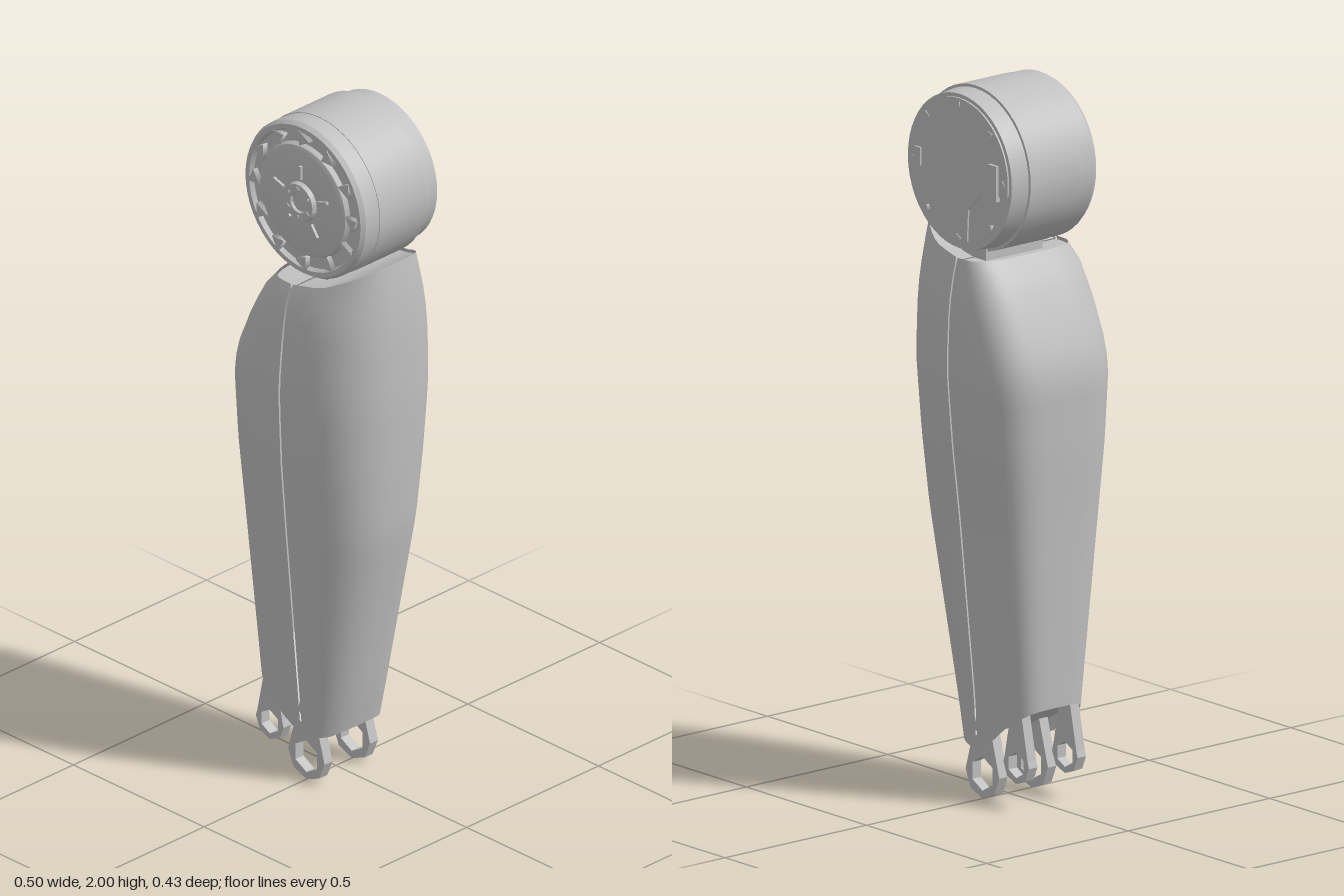
import * as THREE from 'three';
import { toCreasedNormals } from 'three/addons/utils/BufferGeometryUtils.js';

const grey = new THREE.MeshStandardMaterial({ color: 0xc0c0c0, side: THREE.DoubleSide });
grey.name = 'metalGrey';

function add(parent, name, geometry, x = 0, y = 0, z = 0) {
  const mesh = new THREE.Mesh(geometry, grey);
  mesh.name = name;
  mesh.position.set(x, y, z);
  parent.add(mesh);
  return mesh;
}

// Linear lookup in rows of [key, value, value...]
function lookup(rows, k) {
  if (k <= rows[0][0]) return rows[0].slice(1);
  for (let i = 1; i < rows.length; i++) {
    const a = rows[i - 1], b = rows[i];
    if (k <= b[0]) {
      const t = (k - a[0]) / (b[0] - a[0]);
      return a.slice(1).map((v, j) => v + (b[j + 1] - v) * t);
    }
  }
  return rows[rows.length - 1].slice(1);
}

// Surface from a function of u and v
function surface(fn, nu, nv) {
  const pos = [], idx = [];
  for (let j = 0; j <= nv; j++)
    for (let i = 0; i <= nu; i++) pos.push(...fn(i / nu, j / nv));
  for (let j = 0; j < nv; j++)
    for (let i = 0; i < nu; i++) {
      const a = j * (nu + 1) + i, b = a + nu + 1;
      idx.push(a, a + 1, b, a + 1, b + 1, b);
    }
  const g = new THREE.BufferGeometry();
  g.setAttribute('position', new THREE.Float32BufferAttribute(pos, 3));
  g.setIndex(idx);
  g.computeVertexNormals();
  return g;
}

// Shell sections: height, reach to -x, reach to +x, front z, back z
const sections = [
  [0.14, 0.19, 0.105, 0.13, 0.11],
  [0.28, 0.2, 0.137, 0.142, 0.117],
  [0.8, 0.228, 0.23, 0.19, 0.17],
  [1.0, 0.241, 0.242, 0.207, 0.195],
  [1.2, 0.25, 0.25, 0.215, 0.213],
  [1.27, 0.238, 0.25, 0.213, 0.213],
  [1.4, 0.184, 0.249, 0.2, 0.207],
  [1.48, 0.14, 0.245, 0.187, 0.193],
  [1.54, 0.09, 0.241, 0.163, 0.178],
  [1.62, 0.08, 0.23, 0.15, 0.16],
];
// Cut lines of the shell: x, y
const bottomCut = [[-0.2, 0.28], [-0.12, 0.225], [-0.05, 0.165], [0, 0.14], [0.08, 0.155], [0.12, 0.18]];
const topCut = [[-0.1, 1.53], [0, 1.53], [0.1, 1.55], [0.18, 1.59], [0.23, 1.62]];

function shellPoint(side, angle, t) {
  const c = Math.max(0, Math.cos(angle)), s = Math.sin(angle);
  const p = side < 0 ? 0.54 : 0.8;
  const at = (y) => {
    const [l, r, f, b] = lookup(sections, y);
    return [side * (0.003 + ((side < 0 ? l : r) - 0.003) * c ** p),
      y, Math.sign(s) * Math.abs(s) ** p * (s > 0 ? f : b)];
  };
  const cut = (line, y) => {
    for (let i = 0; i < 6; i++) y = lookup(line, at(y)[0])[0];
    return y;
  };
  const y0 = cut(bottomCut, 0.2), y1 = cut(topCut, 1.55);
  return at(y0 + (y1 - y0) * t);
}

function createShellHalf(side) {
  const half = new THREE.Group();
  half.name = side < 0 ? 'rightShell' : 'leftShell';
  const angle = (u) => (u - 0.5) * Math.PI;
  add(half, 'shellWall', surface((u, v) => shellPoint(side, angle(u), v), 24, 26));
  // End caps span straight from back edge to front edge
  const cap = (t, lift) => surface((u, v) => {
    const a = shellPoint(side, angle(u / 2), t), b = shellPoint(side, angle(1 - u / 2), t);
    return a.map((q, k) => q + (b[k] - q) * v + (k === 1 ? lift : 0));
  }, 12, 1);
  add(half, 'shellTop', cap(1, -0.01));
  add(half, 'shellFloor', cap(0, 0.04));
  return half;
}

// Teardrop lug: octagonal lower half, tapered arm, six-sided eye
function lugGeometry(r, hole, arm) {
  const point = (radius, a) => new THREE.Vector2(Math.cos(a) * radius, Math.sin(a) * radius);
  const outline = [0, 1, 2, 3, 4].map((i) => point(r, Math.PI + (i * Math.PI) / 4));
  outline.push(new THREE.Vector2(r * 0.9, r * 0.35), new THREE.Vector2(r * 0.35, arm),
    new THREE.Vector2(-r * 0.35, arm), new THREE.Vector2(-r * 0.9, r * 0.35));
  const shape = new THREE.Shape(outline);
  shape.holes.push(new THREE.Path([0, 1, 2, 3, 4, 5].map((i) => point(hole, ((i + 0.5) * Math.PI) / 3))));
  return new THREE.ExtrudeGeometry(shape, { depth: 0.03, bevelEnabled: false }).translate(0, 0, -0.015);
}

function createMotor() {
  const motor = new THREE.Group();
  motor.name = 'kneeMotor';
  motor.position.y = 1.77;

  // Turned housing with stepped front rim
  const profile = [[0, -0.17], [0.216, -0.17], [0.222, -0.115], [0.23, -0.115], [0.23, 0.06],
    [0.228, 0.06], [0.228, 0.112], [0.22, 0.125], [0.206, 0.125], [0.2, 0.112], [0.168, 0.112],
    [0.162, 0.125], [0.15, 0.13], [0.058, 0.13], [0.054, 0.143], [0.03, 0.143], [0.027, 0.136], [0, 0.136]];
  const body = new THREE.LatheGeometry(profile.map(([r, y]) => new THREE.Vector2(r, y)), 48);
  body.rotateX(Math.PI / 2);
  add(motor, 'motorHousing', toCreasedNormals(body, 0.5));

  // Rim bolts, face ribs, hub screws and back bolts
  const ringOf = (name, count, radius, z, geometry) => {
    for (let i = 0; i < count; i++) {
      const a = (i / count) * Math.PI * 2 + Math.PI / 2;
      add(motor, name, geometry, Math.cos(a) * radius, Math.sin(a) * radius, z).rotation.z = a;
    }
  };
  const peg = (r, h) => new THREE.CylinderGeometry(r, r, h, 3).rotateX(Math.PI / 2);
  ringOf('rimBolt', 12, 0.187, 0.118, peg(0.026, 0.02));
  ringOf('faceRib', 5, 0.088, 0.132, new THREE.BoxGeometry(0.04, 0.008, 0.012));
  ringOf('hubScrew', 6, 0.042, 0.144, peg(0.008, 0.008));
  ringOf('backBolt', 8, 0.185, -0.173, peg(0.013, 0.012));

  // Raised back plate with a narrow tongue
  const plate = new THREE.Shape();
  plate.absarc(0, 0, 0.205, -0.15, Math.PI + 0.15, false);
  const tongue = [[-0.09, -0.05], [-0.04, -0.1], [-0.035, -0.19], [0.035, -0.19], [0.04, -0.1], [0.09, -0.05]];
  tongue.forEach(([x, y]) => plate.lineTo(x, y));
  add(motor, 'backPlate', new THREE.ExtrudeGeometry(plate,
    { depth: 0.006, bevelEnabled: false, curveSegments: 24 }), 0, 0, -0.175);
  add(motor, 'connector', new THREE.BoxGeometry(0.035, 0.1, 0.014), -0.15, 0, -0.177);
  add(motor, 'connector', new THREE.BoxGeometry(0.025, 0.05, 0.01), 0.165, 0.01, -0.176);
  return motor;
}

export function createModel() {
  const model = new THREE.Group();
  model.name = 'robotShin';
  model.add(createShellHalf(-1), createShellHalf(1), createMotor());

  // Neck between motor and shell
  add(model, 'neck', new THREE.BoxGeometry(0.1, 0.1, 0.2), 0, 1.51, -0.02);

  // Two pairs of ankle lugs
  const largeLug = lugGeometry(0.07, 0.048, 0.16), smallLug = lugGeometry(0.053, 0.036, 0.16);
  for (const z of [0.097, -0.075]) {
    add(model, 'ankleLug', largeLug, 0, 0.07, z);
    add(model, 'rearAnkleLug', smallLug, -0.14, 0.123, z);
  }
  return model;
}
